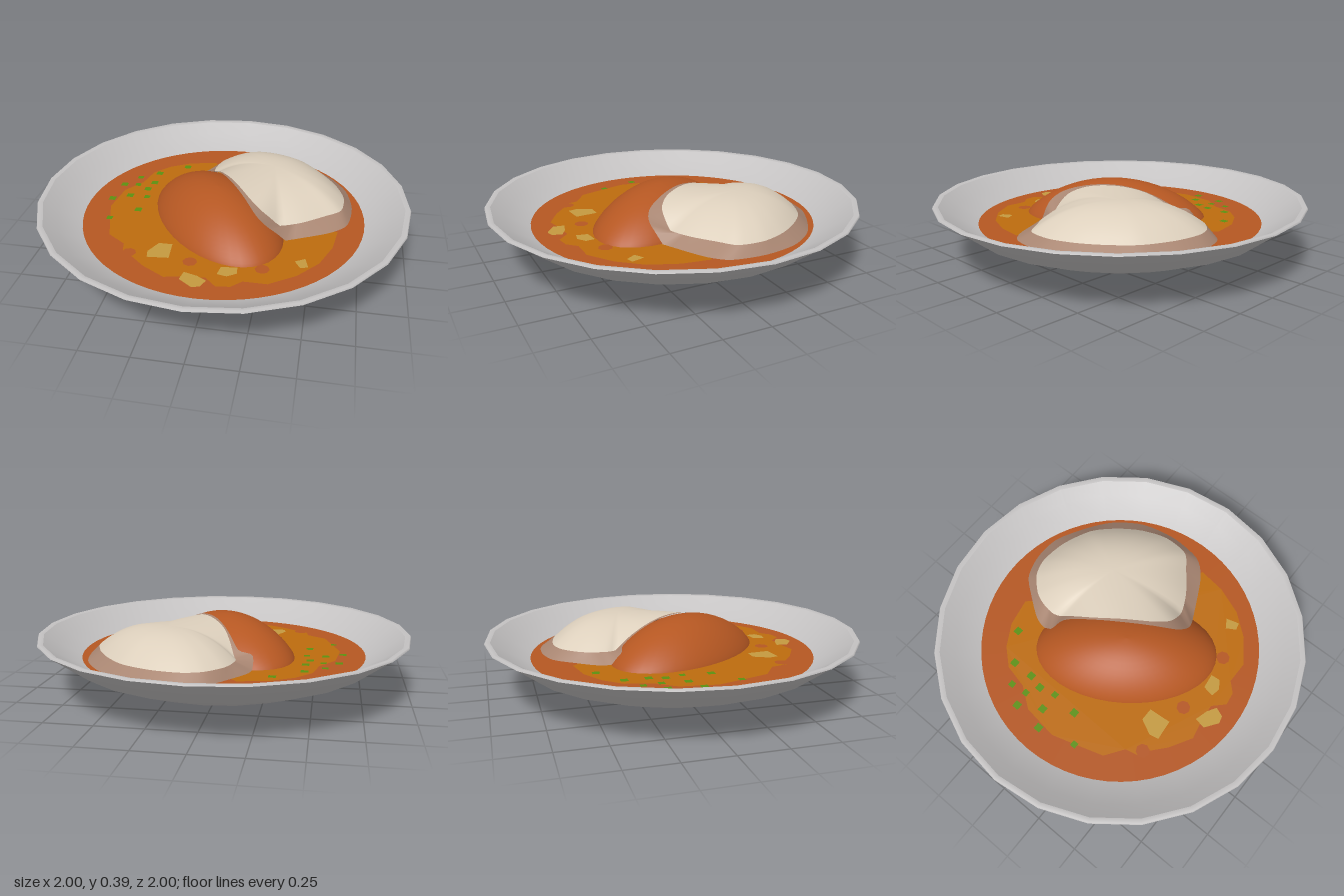
import * as THREE from 'three';

const mat = (name, color, side = THREE.FrontSide) => {
  const m = new THREE.MeshStandardMaterial({ color, side });
  m.name = name;
  return m;
};
const V2 = (p) => new THREE.Vector2(p[0], p[1]);

// Height of the sauce-coated mound: an elliptical dome set diagonally in the bowl
const SOUP_Y = 0.19;
const MOUND = { x: -0.02, z: 0.06, a: 0.5, b: 0.3, h: 0.2, ux: 0.582, uz: 0.813 };
const domeHeight = (r2) => MOUND.h * Math.pow(Math.max(0, 1 - r2), 0.8);
function moundY(x, z) {
  const dx = x - MOUND.x, dz = z - MOUND.z;
  const u = (dx * MOUND.ux + dz * MOUND.uz) / MOUND.a;
  const v = (dx * MOUND.uz - dz * MOUND.ux) / MOUND.b;
  return SOUP_Y + domeHeight(u * u + v * v);
}

// Skin a list of closed rings, outermost first, each clockwise from above
function loft(rings) {
  const n = rings[0].length, pos = [], idx = [];
  rings.forEach((ring) => ring.forEach((p) => pos.push(p.x, p.y, p.z)));
  for (let k = 0; k < rings.length - 1; k++) {
    for (let i = 0; i < n; i++) {
      const j = (i + 1) % n, o = k * n, q = o + n;
      idx.push(o + i, q + i, o + j, o + j, q + i, q + j);
    }
  }
  const g = new THREE.BufferGeometry();
  g.setAttribute('position', new THREE.Float32BufferAttribute(pos, 3));
  g.setIndex(idx);
  g.computeVertexNormals();
  return g;
}

// Flat horizontal plate from x, z outline points
function plate(points, y, smooth = false) {
  const pts = points.map(([x, z]) => new THREE.Vector2(x, -z));
  const shape = new THREE.Shape();
  if (smooth) {
    shape.moveTo(pts[0].x, pts[0].y);
    shape.splineThru(pts.slice(1));
  } else shape.setFromPoints(pts);
  return new THREE.ShapeGeometry(shape, 3).rotateX(-Math.PI / 2).translate(0, y, 0);
}

// Resample a closed outline smoothly
function outline(points, yOf, n = 76) {
  const c = new THREE.CatmullRomCurve3(points.map(([x, z]) => new THREE.Vector3(x, 0, z)), true, 'catmullrom', 0.4);
  return Array.from({ length: n }, (_, i) => {
    const p = c.getPoint(i / n);
    p.y = yOf(p.x, p.z);
    return p;
  });
}

export function createModel() {
  const group = new THREE.Group();
  const ceramic = mat('ceramic grey', 0xc4c2c2);
  const sauce = mat('sauce brown', 0xb55722);
  const amber = mat('amber broth', 0xbd6c0e);
  const tan = mat('soaked rice tan', 0xa98672, THREE.DoubleSide);
  const white = mat('rice white', 0xdccfbc);
  const yellow = mat('potato yellow', 0xc49a40);
  const green = mat('herb green', 0x5c9010);
  const add = (name, geometry, material) => {
    const m = new THREE.Mesh(geometry, material);
    m.name = name;
    group.add(m);
    return m;
  };

  // Bowl: separate lathes keep the rim edges crisp
  const bowl = {
    bowlOutside: [[0, 0], [0.29, 0], [0.57, 0.065], [0.81, 0.16], [0.97, 0.28], [1, 0.3]],
    bowlRim: [[1, 0.3], [0.995, 0.31], [0.97, 0.305]],
    bowlInside: [[0.97, 0.305], [0.9, 0.258], [0.78, 0.187], [0.6, 0.13], [0, 0.09]],
  };
  for (const [name, pts] of Object.entries(bowl)) {
    add(name, new THREE.LatheGeometry(pts.map(V2), 24), ceramic);
  }

  // Sauce surface and the irregular broth patch
  add('sauceSurface', new THREE.CircleGeometry(0.77, 64).rotateX(-Math.PI / 2).translate(0, SOUP_Y, 0), sauce);
  add('brothPatch', plate([
    [-0.15, -0.57], [-0.3, -0.54], [-0.42, -0.47], [-0.5, -0.38], [-0.53, -0.25], [-0.61, -0.14],
    [-0.635, 0.05], [-0.59, 0.2], [-0.55, 0.33], [-0.45, 0.4], [-0.43, 0.49], [-0.38, 0.5],
    [-0.3, 0.57], [-0.18, 0.64], [-0.08, 0.62], [0.02, 0.61], [0.08, 0.67], [0.15, 0.66], [0.2, 0.61],
    [0.32, 0.61], [0.45, 0.52], [0.55, 0.4], [0.61, 0.25], [0.63, 0.1], [0.4, 0.05], [0.1, -0.3],
  ], SOUP_Y + 0.004), amber);

  // Sauce spots
  for (const [x, z] of [[-0.08, 0.5], [0.28, 0.5], [-0.4, 0.475]]) {
    add('sauceSpot', new THREE.CircleGeometry(0.037, 8).rotateX(-Math.PI / 2).translate(x, SOUP_Y + 0.007, z), sauce);
  }

  // Potato pieces
  const pieces = [
    [[-0.27, 0.37], [-0.2, 0.37], [-0.19, 0.49], [-0.3, 0.5], [-0.31, 0.45]],
    [[-0.09, 0.59], [-0.02, 0.61], [0.03, 0.64], [0.01, 0.69], [-0.03, 0.7], [-0.1, 0.65]],
    [[0.08, 0.52], [0.16, 0.51], [0.165, 0.56], [0.12, 0.59], [0.07, 0.58]],
    [[0.43, 0.41], [0.48, 0.38], [0.5, 0.45], [0.46, 0.46]],
  ];
  pieces.forEach((p) => add('potatoPiece', plate(p, SOUP_Y + 0.009), yellow));

  // Chopped herbs
  const herbs = [[-0.31, -0.48], [-0.46, -0.37], [-0.56, -0.3], [-0.46, -0.25], [-0.63, -0.2], [-0.55, -0.21],
    [-0.48, -0.17], [-0.56, -0.08], [-0.46, -0.08], [-0.65, -0.03], [-0.47, 0.065], [-0.6, 0.175]];
  herbs.forEach(([x, z], i) => {
    const s = i % 3 === 2 ? 0.032 : 0.038;
    add('herb', new THREE.PlaneGeometry(s, s).rotateX(-Math.PI / 2).translate(x, SOUP_Y + 0.008, z), green);
  });

  // Sauce-covered mound
  const moundRings = [];
  for (let k = 0; k <= 14; k++) {
    const r = Math.cos((k / 14) * Math.PI / 2);
    moundRings.push(Array.from({ length: 40 }, (_, i) => {
      const t = (i / 40) * Math.PI * 2, u = MOUND.a * r * Math.cos(t), v = -MOUND.b * r * Math.sin(t);
      return new THREE.Vector3(MOUND.x + u * MOUND.ux + v * MOUND.uz, SOUP_Y + domeHeight(r * r),
        MOUND.z + u * MOUND.uz - v * MOUND.ux);
    }));
  }
  add('sauceMound', loft(moundRings), sauce);

  // Rice: soaked margin, then a white dome leaning on the mound
  const margin = outline([[-0.19, -0.44], [-0.1, -0.57], [-0.02, -0.66], [0.11, -0.7], [0.26, -0.69], [0.43, -0.6],
    [0.56, -0.5], [0.66, -0.35], [0.7, -0.16], [0.68, 0.02], [0.6, 0.11], [0.45, 0.19], [0.29, 0.26],
    [0.21, 0.23], [0.13, 0.12], [0.04, -0.02], [-0.04, -0.16], [-0.12, -0.3], [-0.2, -0.33]],
  (x, z) => Math.max(SOUP_Y + 0.006, moundY(x, z) + 0.004));
  const edge = outline([[-0.11, -0.46], [-0.08, -0.53], [0, -0.61], [0.1, -0.64], [0.25, -0.62], [0.41, -0.55],
    [0.52, -0.44], [0.6, -0.32], [0.65, -0.18], [0.64, -0.04], [0.56, 0.03], [0.44, 0.12], [0.33, 0.17],
    [0.23, 0.17], [0.15, 0.105], [0.055, -0.03], [-0.03, -0.165], [-0.09, -0.3], [-0.12, -0.38]],
  (x, z) => Math.max(0.245, moundY(x, z) + 0.01));
  add('soakedRice', loft([margin, edge]), tan);
  const rings = [];
  for (let k = 0; k <= 10; k++) {
    const t = 1 - k / 10;
    rings.push(edge.map((p) => new THREE.Vector3(
      THREE.MathUtils.lerp(0.25, p.x, t),
      p.y + (0.375 - p.y) * (1 - Math.pow(t, 2.5)),
      THREE.MathUtils.lerp(-0.25, p.z, t))));
  }
  add('riceDome', loft(rings), white);

  return group;
}
